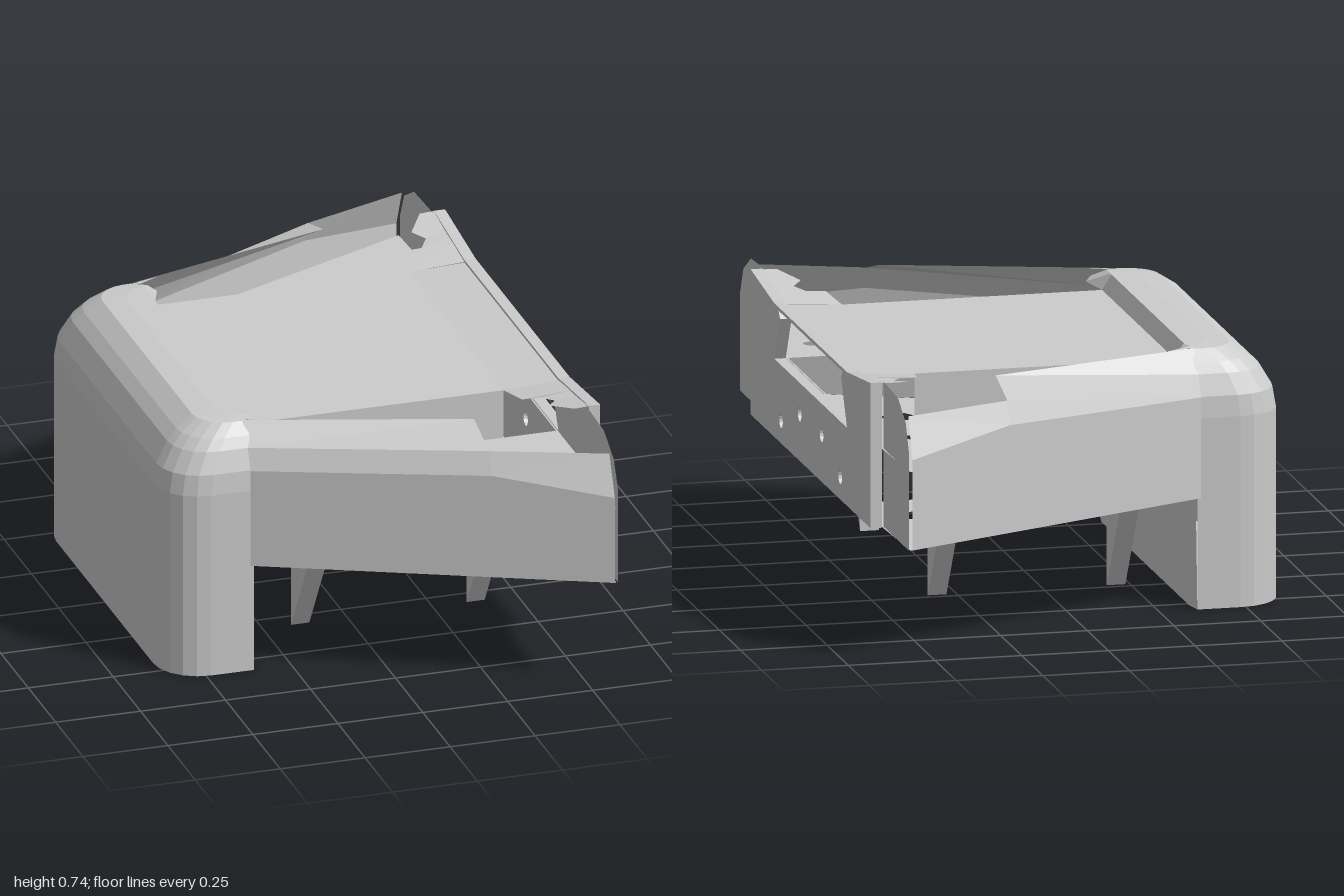
import * as THREE from 'three';

const mat = new THREE.MeshStandardMaterial({ color: 0xcccccc, flatShading: true, side: THREE.DoubleSide });

// Skin between rows of [x, y, z] points
function loft(rows) {
  const pos = [];
  for (let i = 0; i + 1 < rows.length; i++) {
    for (let j = 0; j + 1 < rows[i].length; j++) {
      const a = rows[i][j], b = rows[i][j + 1], c = rows[i + 1][j + 1], d = rows[i + 1][j];
      pos.push(...a, ...b, ...c, ...a, ...c, ...d);
    }
  }
  const g = new THREE.BufferGeometry();
  g.setAttribute('position', new THREE.Float32BufferAttribute(pos, 3));
  g.computeVertexNormals();
  return g;
}

const shapeOf = (pts) => new THREE.Shape(pts.map((p) => new THREE.Vector2(p[0], p[1])));

function punch(shape, x, y, r, sides) {
  const pts = [];
  for (let i = 0; i < sides; i++) {
    const a = (i / sides) * Math.PI * 2;
    pts.push(new THREE.Vector2(x + r * Math.cos(a), y + r * Math.sin(a)));
  }
  shape.holes.push(new THREE.Path(pts));
}

// Horizontal sheet from an [x, z] outline
const level = (shape, y) => new THREE.ShapeGeometry(shape).rotateX(Math.PI / 2).translate(0, y, 0);

// Outline of the tall end block at a given inset
function blockRing(inset, y) {
  const xb = -0.615 + inset, w = 0.575 - 0.6 * inset, r = 0.13 - 0.3 * inset;
  const half = [[-0.36, w]];
  for (let i = 0; i <= 5; i++) {
    const a = (i / 5) * Math.PI / 2;
    half.push([xb + r - r * Math.sin(a), w - r + r * Math.cos(a)]);
  }
  const other = half.slice().reverse().map(([x, z]) => [x, -z]);
  return [...half, ...other].map(([x, z]) => [x, y, z]);
}

export function createModel() {
  const group = new THREE.Group();
  const add = (name, geo, parent = group) => {
    const m = new THREE.Mesh(geo, mat);
    m.name = name;
    parent.add(m);
    return m;
  };
  const bolts = [[-0.27, 0.52], [0.22, 0.585], [0.47, 0.585]];

  // Tall rounded end block
  const rings = [[0, 0], [0, 0.55], [0.01, 0.61], [0.045, 0.67], [0.075, 0.7], [0.125, 0.733], [0.19, 0.738]]
    .map(([i, y]) => blockRing(i, y));
  add('endBlockShell', loft(rings));
  const flat = (ring) => shapeOf(ring.map((p) => [p[0], p[2]]));
  add('endBlockTop', level(flat(rings[rings.length - 1]), 0.738));
  add('endBlockBottom', level(flat(rings[0]), 0));
  add('endBlockInnerWall', loft([0, 0.69].map((y) =>
    [[-0.36, y, 0.575 - y * 0.06], [-0.35, y, 0.52], [-0.35, y, -0.52], [-0.36, y, -0.575 + y * 0.06]])));
  add('endBlockLip', loft([
    [[-0.36, 0.738, 0.46], [-0.36, 0.738, -0.46]],
    [[-0.33, 0.69, 0.43], [-0.33, 0.69, -0.43]]]));

  // Lower floor with a wide opening and hexagonal holes
  const plan = [[-0.36, 0.575], [0.57, 1], [0.58, 0.71], [0.58, -0.71], [0.57, -1], [-0.36, -0.575]];
  const floor = shapeOf(plan);
  floor.holes.push(shapeOf([[-0.33, 0.4], [-0.33, -0.4], [0.52, -0.4], [0.52, 0.4]]));
  // Middle deck with round bolt holes
  const deck = shapeOf(plan.map(([x, z]) => [x, z * 0.995]));
  deck.holes.push(shapeOf([[-0.34, 0.43], [-0.34, -0.43], [0.575, -0.43], [0.575, 0.43]]));
  for (const s of [1, -1]) {
    for (const [x, z] of bolts) {
      punch(floor, x, s * z, 0.05, 6);
      punch(deck, x, s * z, 0.024, 14);
    }
  }
  add('floor', level(floor, 0.32));
  add('deck', level(deck, 0.545));

  // Raised centre panel with its side walls
  add('centrePanel', loft([-0.33, 0.42].map((x) =>
    [[x, 0.545, 0.43], [x, 0.69, 0.43], [x, 0.69, -0.43], [x, 0.545, -0.43]])));
  add('panelFlange', loft([[0.42, 0.69], [0.6, 0.698]].map(([x, y]) => [[x, y, 0.43], [x, y, -0.43]])));

  // Upright end plate with slot and bolt holes
  const plate = shapeOf([[-0.71, 0.32], [0.71, 0.32], [0.71, 0.738], [0.43, 0.705], [-0.43, 0.705], [-0.71, 0.738]]);
  plate.holes.push(shapeOf([[-0.43, 0.545], [-0.36, 0.675], [-0.38, 0.695], [0.38, 0.695], [0.36, 0.675], [0.43, 0.545]]));
  for (const s of [1, -1]) {
    punch(plate, s * 0.13, 0.455, 0.021, 14);
    punch(plate, s * 0.35, 0.385, 0.021, 14);
  }
  add('endPlate', new THREE.ExtrudeGeometry(plate, { depth: 0.033, bevelEnabled: false })
    .rotateY(Math.PI / 2).translate(0.582, 0, 0));

  for (const s of [1, -1]) {
    const side = new THREE.Group();
    side.name = s > 0 ? 'frontWing' : 'backWing';
    group.add(side);
    const section = (x, pts) => pts.map(([z, y]) => [x, y, s * z]);

    // Flared wall, with a folded lip along its narrow part
    add('wingWall', loft([
      section(-0.37, [[0.575, 0.32], [0.575, 0.61], [0.548, 0.67], [0.5, 0.735]]),
      section(0.25, [[0.857, 0.32], [0.857, 0.63], [0.83, 0.695], [0.69, 0.735]])]), side);
    add('wingEndWall', loft([
      section(0.25, [[0.857, 0.32], [0.857, 0.63], [0.83, 0.695]]),
      section(0.565, [[1, 0.32], [1, 0.58], [0.95, 0.695]])]), side);

    // End cap beside the plate
    const cap = shapeOf([[0.7, 0.32], [1, 0.32], [1, 0.6], [0.96, 0.68], [0.87, 0.73], [0.7, 0.738]]
      .map(([z, y]) => [-s * z, y]));
    const capGeo = new THREE.ShapeGeometry(cap).rotateY(Math.PI / 2).translate(0.575, 0, 0);
    add('wingEndCap', capGeo, side);

    // Corner tabs that clear the bolts
    add('plateTab', loft([
      [[0.42, 0.69, s * 0.43], [0.6, 0.7, s * 0.43]],
      [[0.44, 0.705, s * 0.54], [0.6, 0.715, s * 0.54]],
      [[0.49, 0.705, s * 0.54], [0.6, 0.715, s * 0.54]],
      [[0.52, 0.712, s * 0.59], [0.6, 0.72, s * 0.59]],
      [[0.49, 0.718, s * 0.63], [0.6, 0.725, s * 0.63]],
      [[0.54, 0.735, s * 0.71], [0.6, 0.738, s * 0.71]]]), side);
    add('blockTab', loft([
      [[-0.36, 0.738, s * 0.43], [-0.33, 0.69, s * 0.43]],
      [[-0.36, 0.738, s * 0.46], [-0.3, 0.7, s * 0.5]],
      [[-0.36, 0.737, s * 0.48], [-0.32, 0.71, s * 0.525]],
      [[-0.36, 0.735, s * 0.5], [-0.29, 0.735, s * 0.52]]]), side);

    // Triangular legs under the floor
    for (const x of [-0.168, 0.348]) {
      const leg = shapeOf([[0.4, 0.32], [0.575, 0.32], [0.4, 0.042]].map(([z, y]) => [-s * z, y]));
      add('leg', new THREE.ExtrudeGeometry(leg, { depth: 0.054, bevelEnabled: false })
        .rotateY(Math.PI / 2).translate(x - 0.027, 0, 0), side);
    }
  }
  return group;
}
